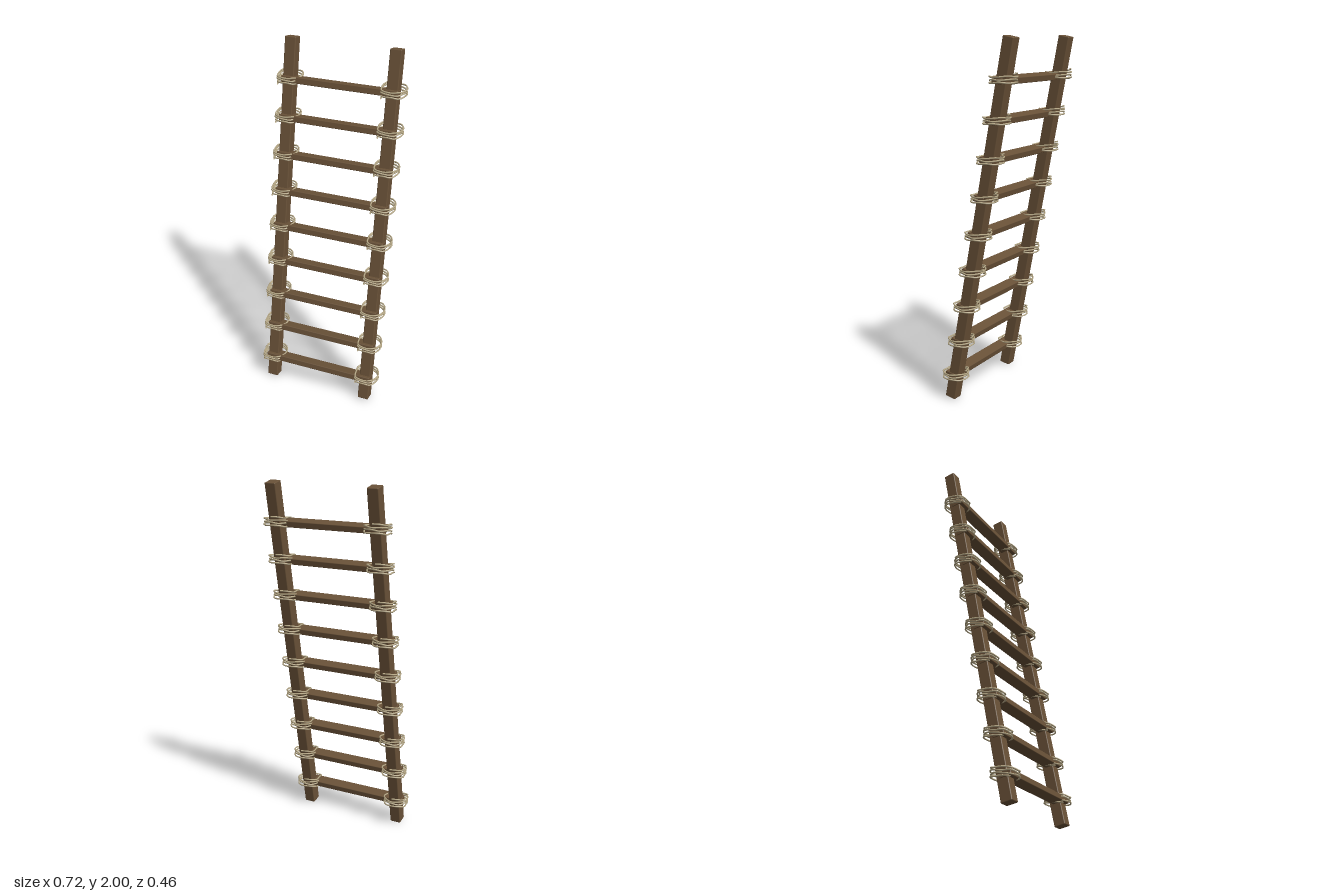
import * as THREE from 'three';
import { RoundedBoxGeometry } from 'three/addons/geometries/RoundedBoxGeometry.js';

const LEAN = 0.19;          // backward lean of the ladder, radians
const RUNGS = 9;
const STEP = 0.2045;        // vertical distance between rungs
const FIRST = 0.143;        // height of the lowest rung

// Loose, slightly irregular coil of rope around the origin
function ropeGeometry() {
  const loop = [
    [-0.054, 0.059], [-0.063, 0.018], [-0.066, -0.025], [-0.043, -0.056], [-0.004, -0.069],
    [0.04, -0.054], [0.065, -0.01], [0.055, 0.034], [0.036, 0.062], [0.008, 0.069],
  ];
  const turns = 3.4, n = loop.length, total = Math.round(turns * n);
  const points = [];
  for (let i = 0; i <= total; i++) {
    const [x, z] = loop[i % n];
    const s = 1 - 0.03 * (Math.floor(i / n) % 2);
    const y = -0.025 + 0.05 * (i / total) + 0.003 * Math.sin(i * 2.3) - z * 0.07;
    points.push(new THREE.Vector3(x * s, y, z * s));
  }
  return new THREE.TubeGeometry(new THREE.CatmullRomCurve3(points), 110, 0.0043, 6);
}

export function createModel() {
  const model = new THREE.Group();
  model.name = 'ladder';
  const wood = new THREE.MeshStandardMaterial({ color: 0x6a5238 });
  wood.name = 'brown wood';
  const rope = new THREE.MeshStandardMaterial({ color: 0xb8aa88, side: THREE.DoubleSide });
  rope.name = 'pale rope';

  const add = (geometry, material, name, x, y, z, tilt) => {
    const mesh = new THREE.Mesh(geometry, material);
    mesh.name = name;
    mesh.position.set(x, y, z);
    mesh.rotation.x = tilt;
    model.add(mesh);
  };

  // Two leaning side rails
  const rail = new RoundedBoxGeometry(0.063, 2.025, 0.063, 1, 0.005);
  add(rail, wood, 'rightRail', -0.295, 1, -0.002, -LEAN);
  add(rail, wood, 'leftRail', 0.285, 1, -0.002, -LEAN);

  // Rungs set into the front of the rails, lashed at both ends
  const rung = new RoundedBoxGeometry(0.65, 0.034, 0.066, 1, 0.004);
  const lashing = ropeGeometry();
  for (let i = 0; i < RUNGS; i++) {
    const y = FIRST + i * STEP;
    const z = (1 - y) * Math.tan(LEAN) - 0.002;
    add(rung, wood, 'rung' + (i + 1), -0.005, y, z + 0.019, -LEAN);
    add(lashing, rope, 'rightLashing' + (i + 1), -0.291, y + 0.006, z, 0);
    add(lashing, rope, 'leftLashing' + (i + 1), 0.29, y + 0.006, z, 0);
  }
  return model;
}
